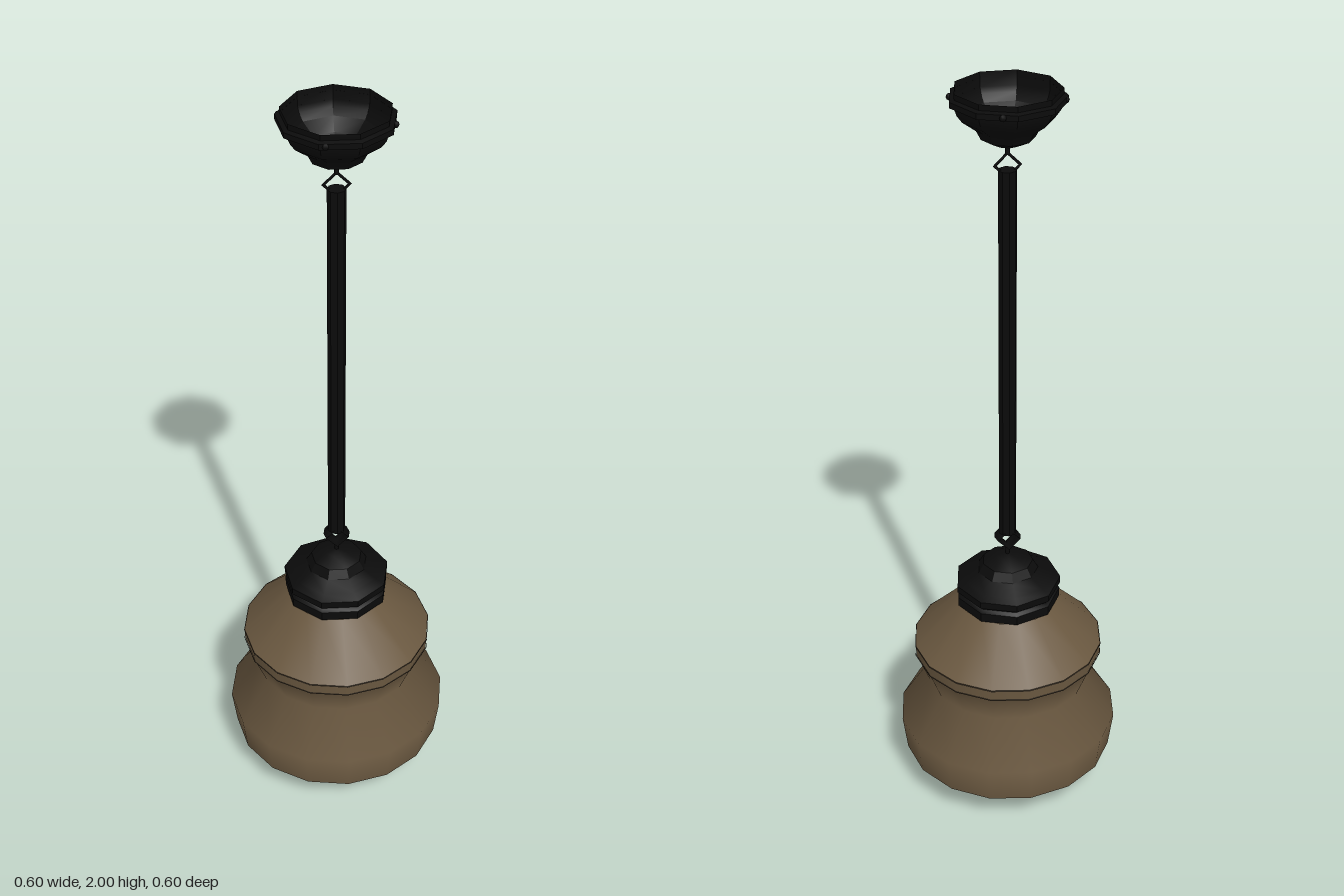
import * as THREE from 'three';
import { toCreasedNormals } from 'three/addons/utils/BufferGeometryUtils.js';

export function createModel() {
  const model = new THREE.Group();
  model.name = 'pendantLamp';
  const black = new THREE.MeshStandardMaterial({ color: 0x0b0b0b, side: THREE.DoubleSide });
  black.name = 'blackMetal';
  const brown = new THREE.MeshStandardMaterial({ color: 0x6a5840, side: THREE.DoubleSide });
  brown.name = 'brownShade';
  const dark = new THREE.MeshStandardMaterial({ color: 0x2c241a, side: THREE.DoubleSide });
  dark.name = 'darkSeam';

  const add = (name, geometry, material, y = 0) => {
    const mesh = new THREE.Mesh(geometry, material);
    mesh.name = name;
    mesh.position.y = y;
    model.add(mesh);
    return mesh;
  };
  // Turned part from [radius, height] pairs, listed bottom to top
  const turn = (pairs, sides, phase = 0) =>
    new THREE.LatheGeometry(pairs.map(([r, y]) => new THREE.Vector2(r, y)), sides, phase);
  const creased = (geometry) => toCreasedNormals(geometry, 0.5);

  // Shade: separate sections keep the rims sharp and the waist smooth
  add('shadeBottom', turn([[0, 0], [0.13, 0.037], [0.287, 0.1]], 16), brown);
  add('shadeBody', turn([[0.287, 0.1], [0.3, 0.2], [0.22, 0.325], [0.255, 0.415]], 16), brown);
  add('shadeBand', turn([[0.255, 0.415], [0.256, 0.445]], 16), brown);
  add('shadeShoulder', turn([[0.256, 0.445], [0.13, 0.572]], 16), brown);
  for (const y of [0.414, 0.443]) {
    add('shadeSeam', turn([[0.2565, y - 0.002], [0.2575, y], [0.2565, y + 0.003]], 16), dark);
  }

  // Stepped cap that holds the shade
  add('shadeCap', creased(turn([
    [0.125, 0.57], [0.14, 0.575], [0.14, 0.6], [0.13, 0.608], [0.142, 0.618], [0.142, 0.637],
    [0.12, 0.648], [0.082, 0.668], [0.068, 0.692], [0.03, 0.71], [0, 0.714],
  ], 9, 0.3)), black);

  // Hollow ceiling canopy with an open top
  add('canopy', creased(turn([
    [0, 1.86], [0.03, 1.864], [0.066, 1.882], [0.078, 1.905], [0.112, 1.93], [0.125, 1.948],
    [0.13, 1.963], [0.131, 2],
  ], 9, 0.3)), black);
  add('canopyRim', creased(turn([
    [0.13, 1.964], [0.142, 1.968], [0.142, 1.982], [0.13, 1.986],
  ], 9, 0.3)), black);

  // Small screws around the canopy
  for (let i = 0; i < 4; i++) {
    const a = 0.3 + i * Math.PI / 2;
    const screw = add('canopyScrew', new THREE.SphereGeometry(0.009, 6, 4), black, 1.975);
    screw.position.x = Math.cos(a) * 0.135;
    screw.position.z = Math.sin(a) * 0.135;
  }

  // Stem
  add('stem', creased(new THREE.CylinderGeometry(0.023, 0.023, 1.02, 8)), black, 1.29);

  // Wire loop at the top, wide strap loop at the bottom
  add('upperLoop', new THREE.TorusGeometry(0.031, 0.005, 4, 4), black, 1.811);
  const lower = add('lowerLoop', new THREE.TorusGeometry(0.03, 0.005, 4, 4), black, 0.767);
  lower.scale.z = 4.5;

  // Links to the canopy and cap
  add('upperLink', new THREE.CylinderGeometry(0.006, 0.006, 0.03, 6), black, 1.853);
  add('lowerLink', new THREE.CylinderGeometry(0.006, 0.006, 0.035, 6), black, 0.724);

  return model;
}
